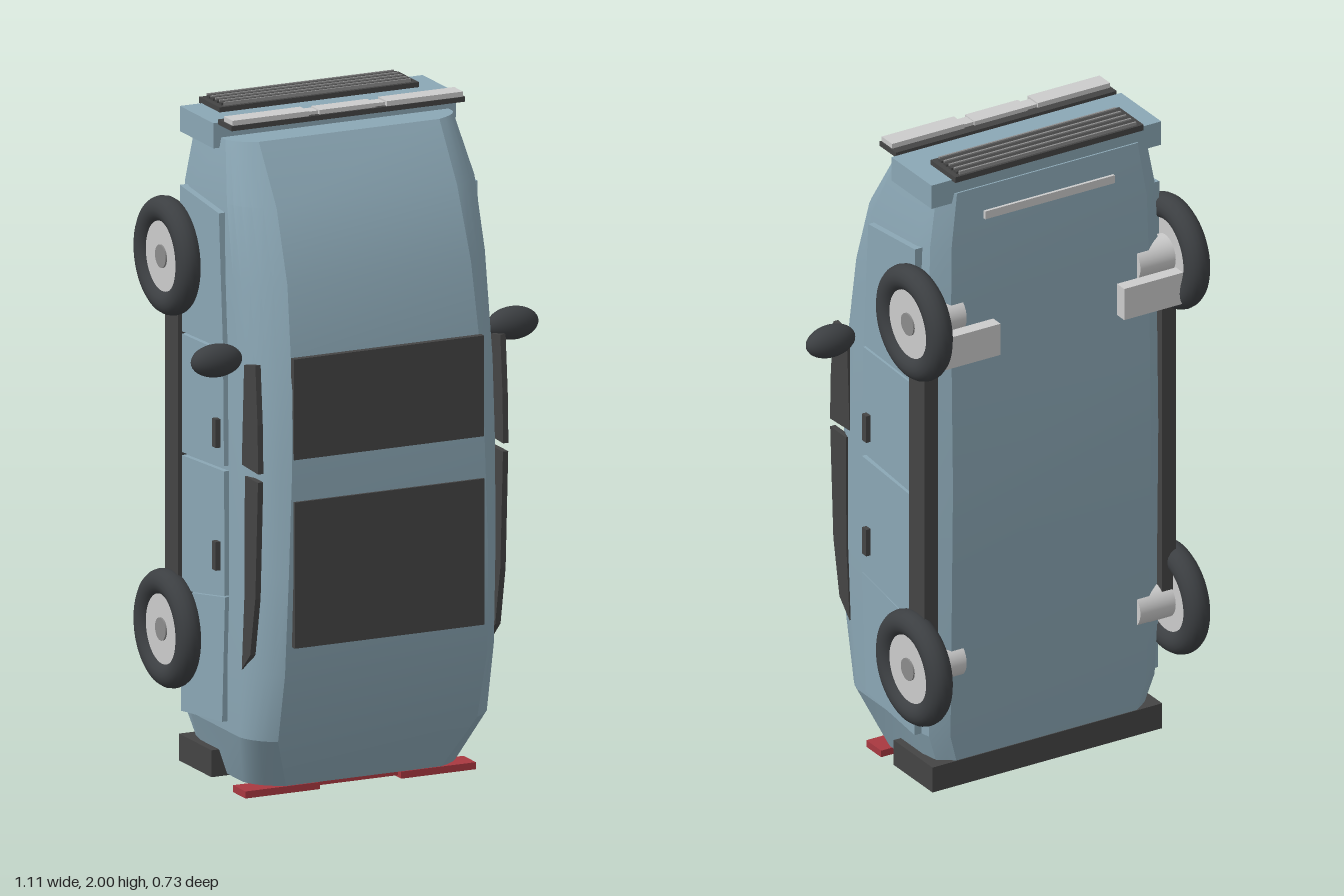
import * as THREE from 'three';
import { toCreasedNormals } from 'three/addons/utils/BufferGeometryUtils.js';

const mat = (color, side = THREE.FrontSide) => new THREE.MeshStandardMaterial({ color, side });
const paint = mat(0x8ba7b5), dark = mat(0x444444), rubber = mat(0x3c3f42);
const grey = mat(0xcccccc), red = mat(0xa83840), hubGrey = mat(0x8c8c8c);

// Cross-section of the body at height y: floor, chamfered sill, side wall, rounded shoulder, roof
function section([y, w, floor, shoulder, roof, roofW]) {
  const half = [[w * 0.84, floor], [w * 0.97, floor + 0.035], [w, floor + 0.09]];
  const curve = new THREE.QuadraticBezierCurve(
    new THREE.Vector2(w, shoulder),
    new THREE.Vector2(w * 0.97, shoulder + (roof - shoulder) * 0.62),
    new THREE.Vector2(roofW, roof));
  curve.getPoints(5).forEach(p => half.push([p.x, p.y]));
  const mirrored = half.slice().reverse().map(([x, z]) => [-x, z]);
  return half.concat(mirrored).map(([x, z]) => [x, y, z]);
}

// Skin over a stack of cross-sections, closed at both ends
function loft(rings) {
  const pos = [];
  const tri = (...corners) => corners.forEach(c => pos.push(...c));
  const n = rings[0].length;
  const middle = ring => [0, ring[0][1], (ring[0][2] + ring[n / 2 - 1][2]) / 2];
  const first = rings[0], last = rings[rings.length - 1];
  for (let i = 0; i < n; i++) {
    const j = (i + 1) % n;
    for (let r = 0; r < rings.length - 1; r++) {
      const a = rings[r], b = rings[r + 1];
      tri(a[i], b[i], a[j]);
      tri(a[j], b[i], b[j]);
    }
    tri(middle(first), first[i], first[j]);
    tri(middle(last), last[j], last[i]);
  }
  const g = new THREE.BufferGeometry();
  g.setAttribute('position', new THREE.Float32BufferAttribute(pos, 3));
  return toCreasedNormals(g, 0.3);
}

export function createModel() {
  const model = new THREE.Group();
  model.name = 'uprightCar';

  const add = (name, geometry, material, x = 0, y = 0, z = 0) => {
    const m = new THREE.Mesh(geometry, material);
    m.name = name;
    m.position.set(x, y, z);
    model.add(m);
    return m;
  };
  // Box given by its limits on each axis
  const box = (name, material, [x0, x1], [y0, y1], [z0, z1]) =>
    add(name, new THREE.BoxGeometry(x1 - x0, y1 - y0, z1 - z0), material,
      (x0 + x1) / 2, (y0 + y1) / 2, (z0 + z1) / 2);
  // Mirrored pair of boxes
  const boxPair = (name, material, [x0, x1], ys, zs) => {
    box(name + 'Left', material, [x0, x1], ys, zs);
    box(name + 'Right', material, [-x1, -x0], ys, zs);
  };
  // Mirrored pair of upright side plates, outline given as [z, y]
  const platePair = (name, material, outline, inner, outer) => {
    const shape = new THREE.Shape(outline.map(p => new THREE.Vector2(...p)));
    const g = new THREE.ExtrudeGeometry(shape, { depth: outer - inner, bevelEnabled: false });
    g.rotateY(-Math.PI / 2);
    add(name + 'Left', g, material, outer);
    add(name + 'Right', g, material, -inner);
  };

  // Body, from tail (low) to nose (high): y, half width, floor, shoulder, roof, roof half width
  const stations = [
    [0.03, 0.34, -0.20, 0.10, 0.20, 0.25],
    [0.19, 0.395, -0.215, 0.19, 0.29, 0.32],
    [0.40, 0.40, -0.225, 0.21, 0.345, 0.325],
    [0.70, 0.40, -0.23, 0.22, 0.36, 0.32],
    [1.00, 0.40, -0.235, 0.22, 0.36, 0.31],
    [1.25, 0.40, -0.23, 0.20, 0.352, 0.305],
    [1.55, 0.40, -0.225, 0.16, 0.30, 0.295],
    [1.76, 0.395, -0.22, 0.11, 0.22, 0.29],
    [1.93, 0.365, -0.21, 0.04, 0.105, 0.29],
  ];
  add('body', loft(stations.map(section)), paint);

  // Bumpers
  box('frontBumper', paint, [-0.39, 0.39], [1.90, 1.975], [-0.205, 0.012]);
  box('rearBumper', dark, [-0.39, 0.39], [0.025, 0.105], [-0.21, 0]);

  // Grille with slats
  box('grille', dark, [-0.32, 0.32], [1.972, 1.99], [-0.222, -0.088]);
  for (let i = 0; i < 5; i++) {
    const z = -0.211 + i * 0.0272;
    box('grilleSlat', hubGrey, [-0.30, 0.30], [1.988, 2.0], [z - 0.003, z + 0.003]);
  }
  for (let i = 0; i < 4; i++) {
    const z = -0.197 + i * 0.0272;
    box('grilleRib', dark, [-0.305, 0.305], [1.988, 1.997], [z - 0.008, z + 0.008]);
  }

  // Headlight bar
  box('headlightHousing', dark, [-0.375, 0.375], [1.97, 1.985], [0.012, 0.10]);
  boxPair('headlight', grey, [0.125, 0.37], [1.983, 2.0], [0.04, 0.097]);
  boxPair('lightJoint', grey, [0.09, 0.125], [1.983, 1.995], [0.045, 0.085]);
  box('centreLight', grey, [-0.09, 0.09], [1.983, 1.998], [0.04, 0.093]);

  // Tail lights
  boxPair('tailLight', red, [0.13, 0.37], [0.002, 0.023], [0.10, 0.18]);
  box('tailLightStrip', red, [-0.13, 0.13], [0.008, 0.02], [0.12, 0.16]);

  // Windscreen and rear window panels
  box('windscreen', dark, [-0.305, 0.305], [1.045, 1.345], [0.345, 0.364]);
  box('rearWindow', dark, [-0.305, 0.305], [0.485, 0.92], [0.345, 0.368]);

  // Side windows
  platePair('frontSideWindow', dark,
    [[0.235, 1.31], [0.22, 1.01], [0.326, 1.005], [0.322, 1.15], [0.308, 1.325]], 0.385, 0.402);
  platePair('rearSideWindow', dark,
    [[0.325, 0.98], [0.24, 0.98], [0.237, 0.62], [0.22, 0.40], [0.275, 0.455], [0.308, 0.63]], 0.385, 0.402);

  // Side panels: wing, front door, rear door, rear quarter
  platePair('frontWing', paint,
    [[-0.155, 1.755], [-0.15, 1.322], [0.125, 1.332], [0.098, 1.73]], 0.39, 0.415);
  platePair('frontDoor', paint,
    [[-0.15, 1.315], [-0.15, 0.962], [0.131, 0.985], [0.125, 1.324]], 0.39, 0.415);
  platePair('rearDoor', paint,
    [[-0.15, 0.953], [-0.15, 0.55], [0.135, 0.60], [0.132, 0.97]], 0.39, 0.415);
  platePair('rearQuarter', paint,
    [[-0.15, 0.545], [-0.15, 0.19], [0.115, 0.22], [0.134, 0.595]], 0.39, 0.413);

  // Door handles and sills
  for (const y of [0.67, 1.035]) boxPair('doorHandle', dark, [0.41, 0.43], [y, y + 0.085], [0.085, 0.108]);
  boxPair('sill', dark, [0.38, 0.427], [0.44, 1.53], [-0.225, -0.142]);

  // Wheels, stub axles and mirrors
  const tyre = new THREE.TorusGeometry(0.136, 0.039, 16, 48).rotateY(Math.PI / 2);
  const disc = (r, len) => new THREE.CylinderGeometry(r, r, len, 32).rotateZ(Math.PI / 2);
  const rim = disc(0.105, 0.04), hub = disc(0.034, 0.05), axle = disc(0.057, 0.12);
  const mirror = new THREE.SphereGeometry(1, 28, 18).scale(0.08, 0.049, 0.043);
  for (const s of [1, -1]) {
    for (const y of [0.43, 1.54]) {
      add('tyre', tyre, rubber, s * 0.437, y, -0.187);
      add('rim', rim, grey, s * 0.437, y, -0.187);
      add('hub', hub, hubGrey, s * 0.437, y, -0.187);
      add('axle', axle, grey, s * 0.355, y, -0.187);
    }
    add('mirror', mirror, rubber, s * 0.476, 1.325, 0.205);
  }

  // Underside parts
  boxPair('suspensionArm', grey, [0.21, 0.41], [1.42, 1.52], [-0.292, -0.252]);
  box('undersideStrip', grey, [-0.22, 0.22], [1.83, 1.855], [-0.225, -0.216]);

  return model;
}
